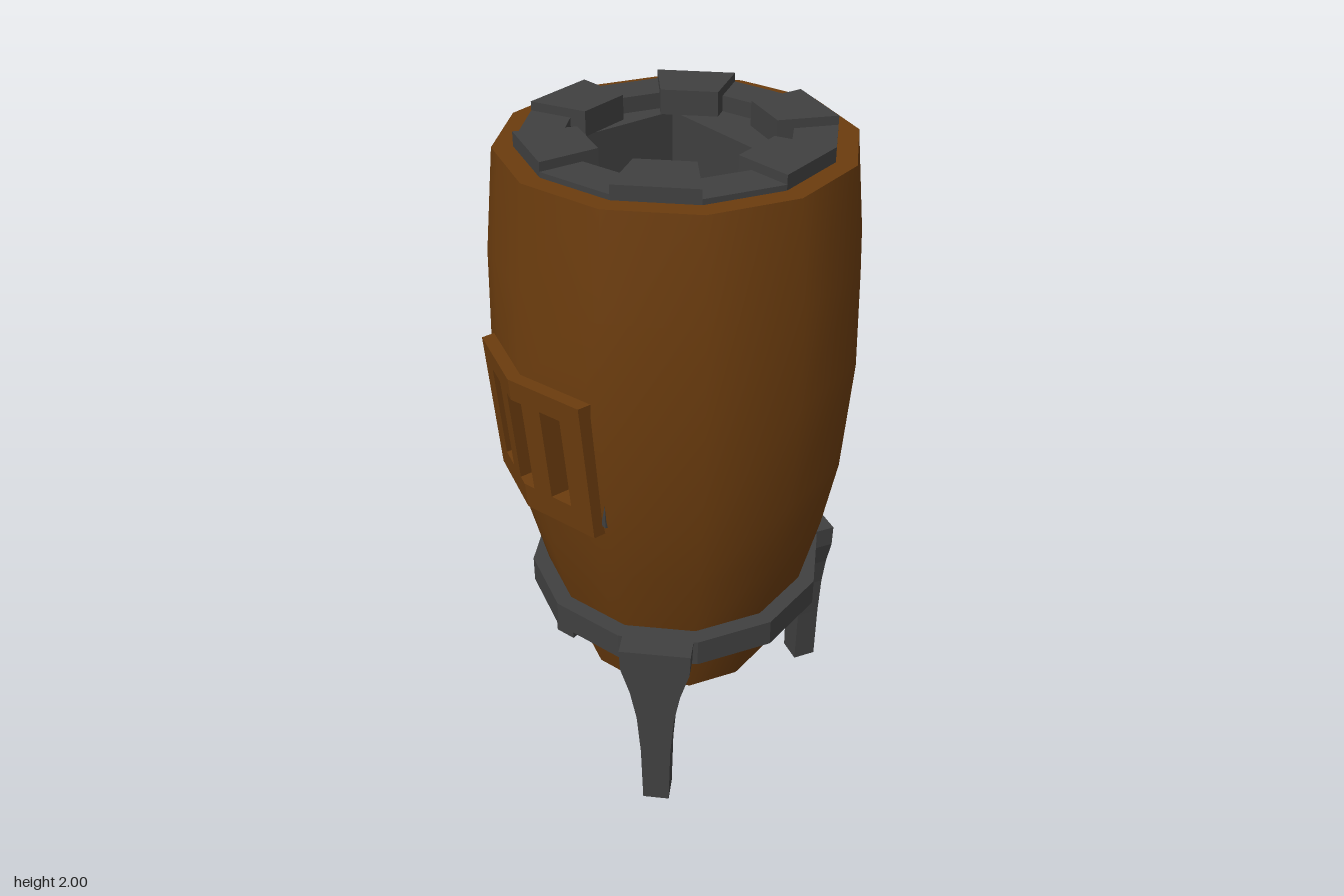
import * as THREE from 'three';
import { toCreasedNormals } from 'three/addons/utils/BufferGeometryUtils.js';

const CZ = -0.02; // z of the barrel axis
const SIDES = 12;
const rad = THREE.MathUtils.degToRad;
const V2 = (x, y) => new THREE.Vector2(x, y);
// point in a shape plane that is later laid flat (shape y becomes -z)
const polar = (deg, r) => V2(r * Math.sin(rad(deg)), -r * Math.cos(rad(deg)));

export function createModel() {
  const model = new THREE.Group();
  const wood = new THREE.MeshStandardMaterial({ color: 0x6b3c0e });
  const iron = new THREE.MeshStandardMaterial({ color: 0x404040, flatShading: true });

  const add = (name, geo, mat, z = 0, parent = model) => {
    const m = new THREE.Mesh(geo, mat);
    m.name = name;
    m.position.z = z;
    parent.add(m);
    return m;
  };

  // Barrel shell: twelve sides with an opening behind the grille
  const profile = [[0.305, 0.285], [0.405, 0.6], [0.462, 0.83], [0.503, 1.05], [0.527, 1.39],
    [0.518, 1.67], [0.487, 1.96], [0.43, 1.96], [0.43, 1.92]];
  const ring = [];
  for (let i = 0; i < SIDES; i++) {
    const p = V2(Math.sin(rad(i * 30)), Math.cos(rad(i * 30)));
    const q = V2(Math.sin(rad(i * 30 + 30)), Math.cos(rad(i * 30 + 30)));
    ring.push(p);
    if (i === 0) ring.push(p.clone().lerp(q, 0.77)); // jambs of the opening
    if (i === SIDES - 1) ring.push(p.clone().lerp(q, 0.23));
  }
  const n = ring.length;
  const pos = [];
  const index = [];
  profile.forEach(([r, y]) => ring.forEach((p) => pos.push(p.x * r, y, p.y * r)));
  for (let i = 0; i < profile.length - 1; i++) {
    for (let j = 0; j < n; j++) {
      if (i === 3 && (j === 0 || j === n - 1)) continue;
      const k = (j + 1) % n;
      const a = i * n + j, b = i * n + k;
      index.push(a, b, b + n, a, b + n, a + n);
    }
  }
  const shell = new THREE.BufferGeometry();
  shell.setAttribute('position', new THREE.Float32BufferAttribute(pos, 3));
  shell.setIndex(index);
  add('barrel', toCreasedNormals(shell, rad(40)), wood, CZ);
  const bottom = new THREE.CircleGeometry(0.305, SIDES).rotateX(Math.PI / 2);
  add('barrelBottom', bottom, wood, CZ).position.y = 0.285;

  // Slotted grille panel: one half, bent to the barrel and mirrored
  const half = new THREE.Shape([[0, 1], [0.235, 1], [0.235, 1.43], [0, 1.43], [0, 1.365],
    [0.035, 1.365], [0.035, 1.08], [0, 1.08]].map(([x, y]) => V2(x, y)));
  half.holes.push(new THREE.Path([[0.097, 1.08], [0.097, 1.365], [0.165, 1.365], [0.165, 1.08]]
    .map(([x, y]) => V2(x, y))));
  const panelGeo = new THREE.ExtrudeGeometry(half, { depth: 0.07, bevelEnabled: false });
  const pp = panelGeo.attributes.position;
  for (let i = 0; i < pp.count; i++) {
    pp.setZ(i, pp.getZ(i) + 0.475 - (1.43 - pp.getY(i)) * 0.081 - pp.getX(i) * 0.268);
  }
  panelGeo.computeVertexNormals();
  const grille = new THREE.Group();
  grille.name = 'grille';
  model.add(grille);
  add('grilleLeft', panelGeo, wood, 0, grille);
  add('grilleRight', panelGeo, wood, 0, grille).scale.x = -1;

  // Square fire shaft inside the barrel
  const shaft = new THREE.Group();
  shaft.name = 'fireShaft';
  model.add(shaft);
  const slab = (name, w, h, d, x, y, z) => {
    add(name, new THREE.BoxGeometry(w, h, d), iron, z, shaft).position.set(x, y, z);
  };
  slab('shaftFloor', 0.46, 0.02, 0.6, 0, 1.04, 0.12);
  slab('shaftBack', 0.5, 0.9, 0.02, 0, 1.48, -0.19);
  slab('shaftFront', 0.46, 0.53, 0.02, 0, 1.665, 0.29);
  for (const s of [-1, 1]) {
    slab('shaftSide', 0.02, 0.9, 0.48, s * 0.24, 1.48, 0.06);
    slab('shaftCheek', 0.02, 0.36, 0.12, s * 0.24, 1.21, 0.36);
  }
  slab('shaftLintel', 0.46, 0.02, 0.14, 0, 1.4, 0.35);

  // Ledge under the stones, with the shaft opening
  const ledge = new THREE.Shape(Array.from({ length: SIDES }, (_, i) => {
    const p = polar(i * 30, 0.435);
    return V2(p.x, p.y - CZ);
  }));
  ledge.holes.push(new THREE.Path([V2(-0.23, 0.18), V2(-0.23, -0.28), V2(0.23, -0.28), V2(0.23, 0.18)]));
  add('ledge', new THREE.ShapeGeometry(ledge).rotateX(-Math.PI / 2), iron).position.y = 1.93;

  // Rim stones, alternately long and tall, short and low
  const stones = new THREE.Group();
  stones.name = 'rimStones';
  model.add(stones);
  for (let k = 0; k < SIDES; k++) {
    const tall = k % 2 === 1;
    const a = k * 30, b = a + 30;
    const spread = tall ? 2.8 : 0;
    const r = tall ? 0.262 : 0.31;
    const s = new THREE.Shape([polar(a, 0.43), polar(b, 0.43), polar(b + spread, r), polar(a - spread, r)]);
    const g = new THREE.ExtrudeGeometry(s, { depth: tall ? 0.07 : 0.045, bevelEnabled: false });
    add('rimStone', g.rotateX(-Math.PI / 2), iron, CZ, stones).position.y = 1.93;
  }

  // Stand: hoop and three flared legs
  const hoop = [V2(0.405, 0.515), V2(0.455, 0.515), V2(0.455, 0.6), V2(0.405, 0.6), V2(0.405, 0.515)];
  add('standHoop', new THREE.LatheGeometry(hoop, SIDES), iron, CZ);
  const edge = [[0.04, 0], [0.045, 0.2], [0.056, 0.34], [0.075, 0.44], [0.102, 0.53], [0.105, 0.6]];
  const legShape = new THREE.Shape([
    ...edge.map(([x, y]) => V2(x, y)),
    ...edge.map(([x, y]) => V2(-x, y)).reverse(),
  ]);
  const legGeo = new THREE.ExtrudeGeometry(legShape, { depth: 0.075, bevelEnabled: false }).translate(0, 0, 0.432);
  for (let i = 0; i < 3; i++) {
    add('standLeg', legGeo, iron, CZ).rotation.y = rad(45 + i * 120);
  }

  return model;
}
